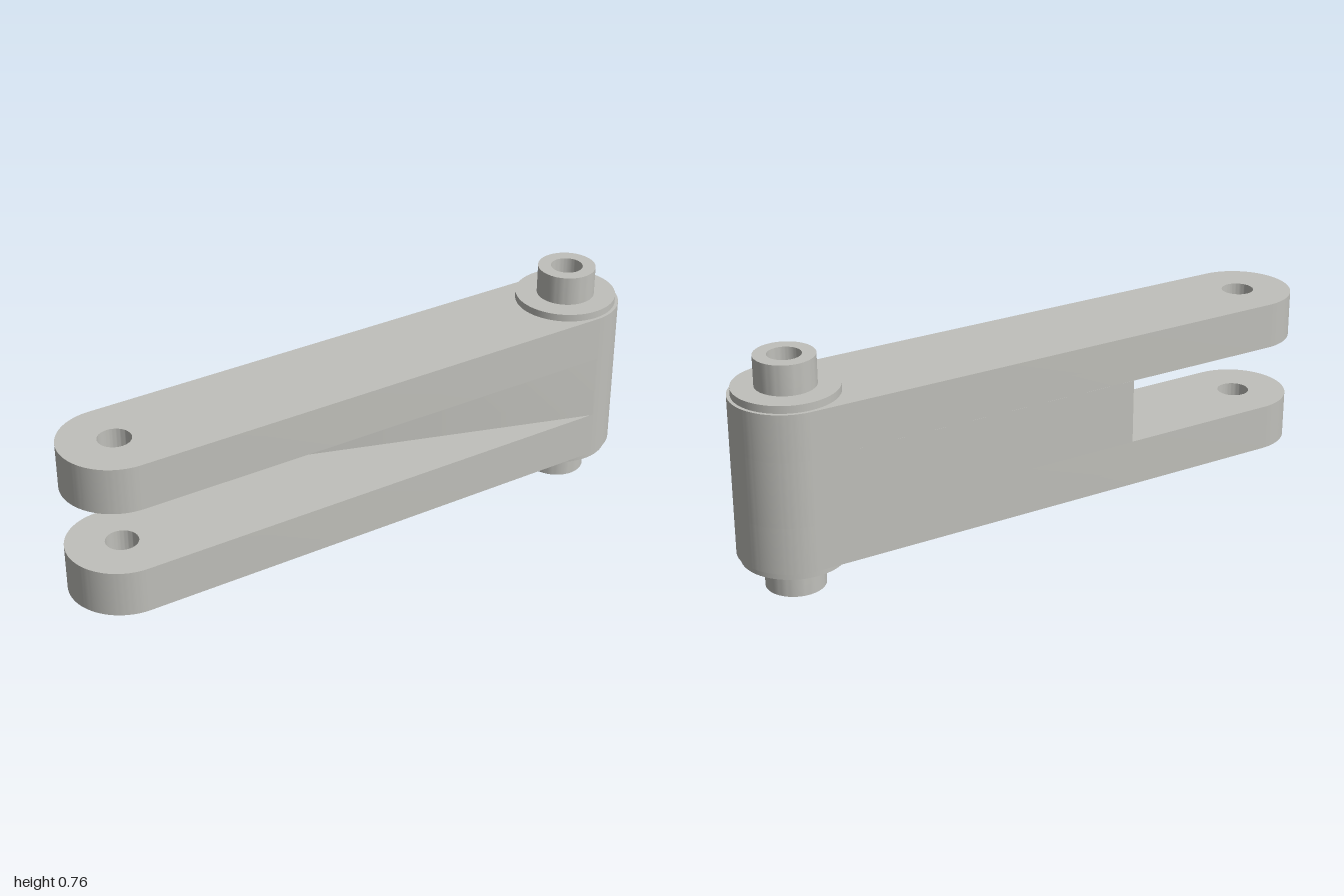
import * as THREE from 'three';
import { toCreasedNormals } from 'three/addons/utils/BufferGeometryUtils.js';

// Plan points are (x, -z): the shapes are extruded upwards
const R = 0.175, HOLE = 0.052;
const FORK = new THREE.Vector2(-0.825, -0.035);
const PIVOT = new THREE.Vector2(0.825, 0.035);
const TILT = Math.atan2(PIVOT.y - FORK.y, PIVOT.x - FORK.x);

function roundHole(shape, centre, radius) {
  const hole = new THREE.Path();
  hole.absarc(centre.x, centre.y, radius, 0, Math.PI * 2, true);
  shape.holes.push(hole);
}

// Rounded end, swept counter-clockwise around a centre
function roundEnd(shape, centre, from) {
  shape.absarc(centre.x, centre.y, R, TILT + from, TILT + from + Math.PI, false);
}

// Full link outline for the two fork plates
function plateShape() {
  const s = new THREE.Shape();
  roundEnd(s, FORK, Math.PI / 2);
  roundEnd(s, PIVOT, -Math.PI / 2);
  s.closePath();
  roundHole(s, FORK, HOLE);
  roundHole(s, PIVOT, 0.08);
  return s;
}

// Middle layer, ending in the slanted slot wall
function coreShape() {
  const s = new THREE.Shape();
  s.moveTo(-0.58, -0.2);
  roundEnd(s, PIVOT, -Math.PI / 2);
  s.lineTo(-0.3, 0.163);
  s.closePath();
  roundHole(s, PIVOT, 0.08);
  return s;
}

export function createModel() {
  const model = new THREE.Group();
  model.name = 'forkedLinkArm';
  const metal = new THREE.MeshStandardMaterial({ color: 0xc0c0bb });
  metal.name = 'greyMetal';

  function add(name, geometry) {
    const mesh = new THREE.Mesh(toCreasedNormals(geometry, 0.5), metal);
    mesh.name = name;
    model.add(mesh);
    return mesh;
  }
  function layer(name, shape, y0, y1) {
    const g = new THREE.ExtrudeGeometry(shape, { depth: y1 - y0, bevelEnabled: false, curveSegments: 40 });
    g.rotateX(-Math.PI / 2);
    add(name, g).position.y = y0;
  }

  // Arm in three layers
  layer('lowerForkPlate', plateShape(), 0.12, 0.272);
  layer('armCore', coreShape(), 0.272, 0.485);
  layer('upperForkPlate', plateShape(), 0.485, 0.636);

  // Hollow pivot pin with a collar above and below the arm
  const profile = [
    [HOLE, 0], [0.094, 0], [0.094, 0.097], [0.164, 0.097], [0.164, 0.66],
    [0.094, 0.66], [0.094, 0.756], [HOLE, 0.756], [HOLE, 0],
  ].map(([r, y]) => new THREE.Vector2(r, y));
  add('pivotPin', new THREE.LatheGeometry(profile, 64)).position.set(PIVOT.x, 0, -PIVOT.y);

  return model;
}
